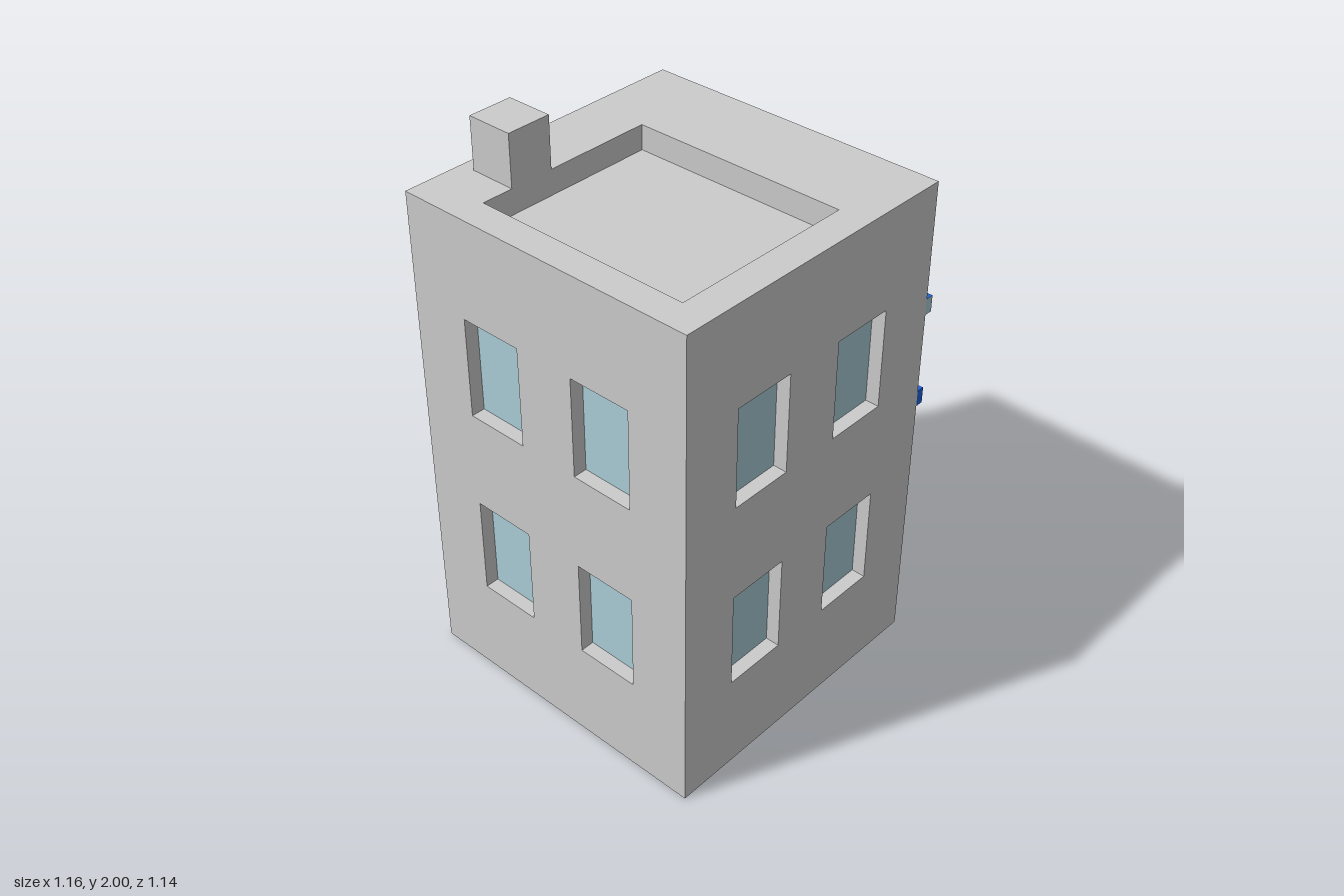
import * as THREE from 'three';

const W = 1.13, D = 1.14, H = 1.815, T = 0.05, CX = -0.015;
const material = (color) => new THREE.MeshStandardMaterial({ color });
const grey = material(0xcccccc), glass = material(0xaaccd6), blue = material(0x2063da);

function add(parent, name, geometry, mat) {
  const mesh = new THREE.Mesh(geometry, mat);
  mesh.name = name;
  parent.add(mesh);
  return mesh;
}

// Box given by its limits on each axis
function box(parent, name, mat, [x0, x1], [y0, y1], [z0, z1]) {
  const mesh = add(parent, name, new THREE.BoxGeometry(x1 - x0, y1 - y0, z1 - z0), mat);
  mesh.position.set((x0 + x1) / 2, (y0 + y1) / 2, (z0 + z1) / 2);
  return mesh;
}

function rectPath([x0, x1, y0, y1]) {
  return new THREE.Path([[x0, y0], [x0, y1], [x1, y1], [x1, y0]].map((p) => new THREE.Vector2(...p)));
}

// Slab with rectangular holes; its outer edges are mitred so that slabs meet cleanly at corners
function panel(half, y0, y1, depth, holes, notch) {
  const pts = [[-half, y0]];
  if (notch) {
    const [w, h] = notch;
    pts.push([-w, y0], [-w, h], [w, h], [w, y0]);
  }
  pts.push([half, y0], [half, y1], [-half, y1]);
  const shape = new THREE.Shape(pts.map((p) => new THREE.Vector2(...p)));
  shape.holes = holes.map(rectPath);
  const geo = new THREE.ExtrudeGeometry(shape, { depth, bevelEnabled: false });
  const p = geo.attributes.position;
  for (let i = 0; i < p.count; i++) {
    const x = p.getX(i), y = p.getY(i);
    if (p.getZ(i) > 1e-6 || Math.abs(x) < half - 1e-4) continue;
    p.setX(i, x - Math.sign(x) * depth);
    p.setY(i, y < (y0 + y1) / 2 ? y + depth : y - depth);
  }
  geo.computeVertexNormals();
  return geo;
}

// Wall with recessed panes behind its window openings
function wall(parent, name, width, distance, angle, windows, notch) {
  const side = new THREE.Group();
  side.name = name;
  add(side, 'wallPanel', panel(width / 2, 0, H, T, windows, notch), grey).position.z = distance - T;
  for (const [x0, x1, y0, y1] of windows) {
    box(side, 'windowPane', glass, [x0, x1], [y0, y1], [distance - T - 0.01, distance - T]);
  }
  side.position.x = CX;
  side.rotation.y = angle;
  parent.add(side);
}

// The same opening on both sides of the wall's middle
const pair = (a, b, y0, y1) => [[-b, -a, y0, y1], [a, b, y0, y1]];

export function createModel() {
  const model = new THREE.Group();
  model.name = 'building';

  // Walls
  const large = [...pair(0.113, 0.345, 0.365, 0.73), ...pair(0.113, 0.345, 1.09, 1.455)];
  wall(model, 'frontWall', W, D / 2, 0, large);
  wall(model, 'backWall', W, D / 2, Math.PI, large);
  wall(model, 'rightWall', D, W / 2, -Math.PI / 2, large);
  wall(model, 'leftWall', D, W / 2, Math.PI / 2, pair(0.378, 0.497, 0.665, 0.91), [0.343, 0.365]);

  // Roof with a sunken terrace
  const roof = add(model, 'roof', panel(W / 2, -D / 2, D / 2, 0.09, [[-0.455, 0.226, -0.455, 0.345]]), grey);
  roof.rotation.x = -Math.PI / 2;
  roof.position.set(CX, H - 0.09, 0);
  box(model, 'terraceFloor', grey, [-0.48, 0.22], [H - 0.1, H - 0.09], [-0.355, 0.465]);

  // Chimney with a slot in its side
  const plan = [[-0.355, 0.345], [-0.19, 0.345], [-0.19, 0.39], [-0.23, 0.39],
    [-0.23, 0.435], [-0.19, 0.435], [-0.19, 0.515], [-0.355, 0.515]];
  const shaft = new THREE.Shape(plan.map((p) => new THREE.Vector2(...p)));
  const chimney = add(model, 'chimney',
    new THREE.ExtrudeGeometry(shaft, { depth: 1.945 - H, bevelEnabled: false }), grey);
  chimney.rotation.x = -Math.PI / 2;
  chimney.position.y = H;
  box(model, 'chimneyTop', grey, [-0.355, -0.19], [1.945, 2], [-0.515, -0.345]);

  // Bands along the left wall
  const bandX = [0.55, 0.58], bandZ = [-D / 2, D / 2];
  box(model, 'lowerBand', [blue, blue, blue, grey, blue, blue], bandX, [0.972, 1.032], bandZ);
  box(model, 'upperBand', [blue, blue, blue, grey, glass, blue], bandX, [1.332, 1.392], bandZ);

  // Base and recessed entrance
  box(model, 'base', glass, [-0.579, 0.549], [0.001, 0.003], [-0.569, 0.569]);
  box(model, 'entranceFloor', grey, [0.11, 0.55], [0, 0.004], [-0.343, 0.343]);
  box(model, 'entranceGlazing', glass, [0.275, 0.285], [0.004, 0.275], [-0.343, 0.343]);
  box(model, 'entranceHeader', grey, [0.275, 0.32], [0.275, 0.365], [-0.343, 0.343]);
  box(model, 'entranceCeiling', glass, [0.275, 0.55], [0.363, 0.367], [-0.343, 0.343]);
  box(model, 'entranceFrontSide', glass, [0.275, 0.55], [0.004, 0.365], [0.341, 0.345]);
  box(model, 'entranceBackSide', grey, [0.275, 0.55], [0.004, 0.365], [-0.345, -0.341]);

  return model;
}
